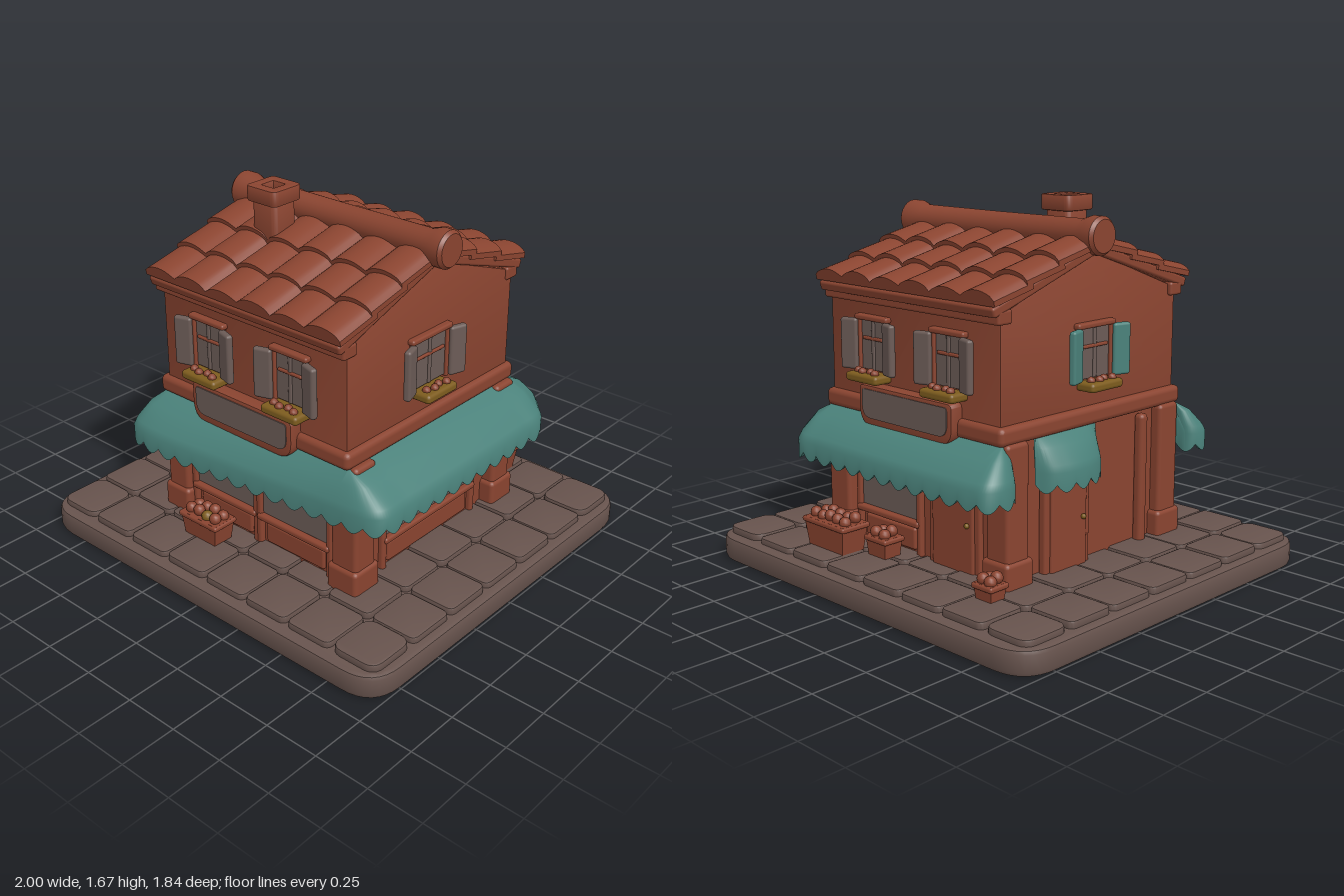
import * as THREE from 'three';
import { toCreasedNormals } from 'three/addons/utils/BufferGeometryUtils.js';
import { RoundedBoxGeometry } from 'three/addons/geometries/RoundedBoxGeometry.js';

const paint = (name, color, side = THREE.FrontSide) => {
  const m = new THREE.MeshStandardMaterial({ color, side });
  m.name = name;
  return m;
};

export function createModel() {
  const brick = paint('terracotta', 0x8a4430);
  const stone = paint('paving stone', 0x67534d);
  const glass = paint('window grey', 0x6b5b56);
  const teal = paint('awning teal', 0x4a817a, THREE.DoubleSide);
  const mustard = paint('mustard', 0x7d5c1e);
  const house = new THREE.Group();
  house.name = 'shop';

  const add = (name, geo, mat, parent = house, x = 0, y = 0, z = 0) => {
    const m = new THREE.Mesh(geo, mat);
    m.name = name;
    m.position.set(x, y, z);
    parent.add(m);
    return m;
  };
  // Box given by its low and high limits on each axis, with softened edges
  const box = (name, mat, [x0, x1], [y0, y1], [z0, z1], parent = house, r = 0.012) => {
    const w = x1 - x0, h = y1 - y0, d = z1 - z0;
    const radius = Math.min(r, w / 2.5, h / 2.5, d / 2.5);
    return add(name, new RoundedBoxGeometry(w, h, d, 2, radius), mat, parent,
      (x0 + x1) / 2, (y0 + y1) / 2, (z0 + z1) / 2);
  };
  // Rounded rectangle outline with separate top and bottom radii
  const roundRect = (w, h, rt, rb = rt) => {
    const s = new THREE.Shape(), a = w / 2, b = h / 2;
    s.moveTo(-a + rb, -b).lineTo(a - rb, -b).quadraticCurveTo(a, -b, a, -b + rb);
    s.lineTo(a, b - rt).quadraticCurveTo(a, b, a - rt, b);
    s.lineTo(-a + rt, b).quadraticCurveTo(-a, b, -a, b - rt);
    s.lineTo(-a, -b + rb).quadraticCurveTo(-a, -b, -a + rb, -b);
    return s;
  };
  const extrude = (shape, depth, bevel = 0) => toCreasedNormals(new THREE.ExtrudeGeometry(shape, {
    depth, bevelEnabled: bevel > 0, bevelSize: bevel, bevelThickness: bevel, bevelSegments: 2, curveSegments: 8,
  }), 0.6);
  // Group whose local +z looks out of one wall
  const wall = (name, angle, x, z) => {
    const g = new THREE.Group();
    g.name = name;
    g.rotation.y = angle;
    g.position.set(x, 0, z);
    house.add(g);
    return g;
  };
  const front = wall('frontWall', 0, 0, 0.55), back = wall('backWall', Math.PI, 0, -0.55);
  const right = wall('plusXWall', Math.PI / 2, 0.54, 0), left = wall('minusXWall', -Math.PI / 2, -0.51, 0);

  // Paved plinth
  const slab = extrude(roundRect(1.96, 1.80, 0.15), 0.07, 0.02);
  slab.rotateX(-Math.PI / 2);
  add('plinth', slab, stone, house, 0, 0.02, 0);
  const tw = 1.92 / 8, td = 1.74 / 7;
  for (let i = 0; i < 8; i++) for (let j = 0; j < 7; j++) {
    const x = -0.96 + tw * (i + 0.5), z = -0.87 + td * (j + 0.5);
    if (Math.abs(x) < 0.4 && Math.abs(z) < 0.4) continue;
    const corner = (i === 0 || i === 7) && (j === 0 || j === 6) ? 0.05 : 0.025;
    const tile = extrude(roundRect(tw - 0.03, td - 0.03, corner), 0.03, 0.01);
    tile.rotateX(-Math.PI / 2);
    add('pavingTile', tile, stone, house, x, 0.1 + 0.004 * ((i * 3 + j) % 2) - 0.002, z);
  }

  // Ground floor: core, corner pillars and their feet
  box('groundFloor', brick, [-0.5, 0.53], [0.1, 0.76], [-0.5, 0.5]);
  for (const [x0, x1] of [[-0.55, -0.42], [0.45, 0.59]]) for (const s of [-1, 1]) {
    const z = s * 0.485;
    box('cornerPillar', brick, [x0, x1], [0.12, 0.74], [z - 0.065, z + 0.065], house, 0.02);
    box('pillarFoot', brick, [x0 - 0.012, x1 + 0.012], [0.12, 0.25], [z - 0.08, z + 0.08], house, 0.02);
  }
  // Shop window with sill, panel and posts, in wall coordinates
  const shopWindow = (g, x0, x1, z, y1 = 0.57) => {
    box('shopPane', glass, [x0, x1], [0.29, y1], [z, z + 0.008], g, 0.002);
    box('shopSill', brick, [x0 - 0.02, x1 + 0.02], [0.26, 0.29], [z - 0.02, z + 0.035], g);
    box('shopPanel', brick, [x0 + 0.02, x1 - 0.02], [0.15, 0.25], [z - 0.02, z + 0.014], g);
    box('shopHeader', brick, [x0 - 0.02, x1 + 0.02], [y1, y1 + 0.04], [z - 0.02, z + 0.03], g);
    for (const x of [x0 - 0.015, x1 + 0.015])
      box('shopPost', brick, [x - 0.016, x + 0.016], [0.13, y1 + 0.03], [z - 0.02, z + 0.025], g);
  };
  const door = (g, x0, x1, z) => {
    box('doorFrame', brick, [x0 - 0.03, x1 + 0.03], [0.12, 0.6], [z - 0.02, z + 0.02], g);
    box('doorLeaf', brick, [x0, x1], [0.13, 0.57], [z, z + 0.032], g);
    add('doorKnob', new THREE.SphereGeometry(0.012, 10, 8), mustard, g, x1 - 0.03, 0.35, z + 0.038);
  };
  shopWindow(front, -0.39, -0.03, -0.05);
  shopWindow(front, 0.02, 0.4, -0.05);
  shopWindow(right, -0.3, 0.3, -0.01);
  shopWindow(back, -0.4, -0.03, -0.05);
  door(back, 0.08, 0.33, -0.05);
  door(left, -0.29, -0.07, 0.01);
  box('drainPipe', brick, [-0.55, -0.5], [0.12, 0.72], [0.29, 0.34], house, 0.02);

  // Upper floor with gable ends, and the belt moulding below it
  const gable = new THREE.Shape();
  gable.moveTo(-0.54, 0.74).lineTo(0.54, 0.74).lineTo(0.54, 1.25).lineTo(0, 1.45).lineTo(-0.54, 1.25).closePath();
  const upper = extrude(gable, 1.03, 0.01);
  upper.rotateY(Math.PI / 2);
  add('upperFloor', upper, brick, house, -0.5, 0, 0);
  box('beltMoulding', brick, [-0.54, 0.565], [0.73, 0.81], [-0.575, 0.575], house, 0.025);

  // Awning: a convex canopy with a scalloped hem, hung from the wall rectangle
  const awning = (name, points, period = 0.1) => {
    const curve = new THREE.CatmullRomCurve3(points.map(([x, z]) => new THREE.Vector3(x, 0, z)), false, 'centripetal');
    const n = Math.round(curve.getLength() / period) * 8;
    const pos = [], idx = [];
    curve.getSpacedPoints(n).forEach((p, i) => {
      const ix = THREE.MathUtils.clamp(p.x, -0.52, 0.55), iz = THREE.MathUtils.clamp(p.z, -0.55, 0.55);
      const hem = 0.54 - 0.035 * Math.abs(Math.sin((i / 8) * Math.PI));
      for (const [t, y] of [[0, 0.735], [0.5, 0.69], [0.9, 0.62], [1, 0.59], [1, hem], [0.9, hem + 0.005], [0.88, 0.59], [0, 0.7]])
        pos.push(ix + (p.x - ix) * t, y, iz + (p.z - iz) * t);
      if (i < n) for (let k = 0; k < 7; k++) {
        const a = i * 8 + k, b = a + 8;
        idx.push(a, a + 1, b, b, a + 1, b + 1);
      }
    });
    const g = new THREE.BufferGeometry();
    g.setAttribute('position', new THREE.Float32BufferAttribute(pos, 3));
    g.setIndex(idx);
    add(name, toCreasedNormals(g, 0.7), teal);
  };
  awning('wrapAwning', [[-0.53, 0.56], [-0.6, 0.58], [-0.62, 0.64], [-0.59, 0.7], [-0.5, 0.725], [0, 0.69], [0.4, 0.65],
    [0.7, 0.61], [0.755, 0.56], [0.76, 0.4], [0.76, -0.4], [0.755, -0.53], [0.68, -0.63], [0.58, -0.72], [0.45, -0.73],
    [-0.5, -0.73], [-0.59, -0.71], [-0.62, -0.64], [-0.6, -0.56], [-0.53, -0.5]]);
  awning('doorAwning', [[-0.53, 0.01], [-0.59, -0.03], [-0.62, -0.1], [-0.63, -0.18], [-0.62, -0.26], [-0.59, -0.33], [-0.53, -0.37]]);

  // Upper windows with open shutters and a flower box
  const upperWindow = (g, x, shutterMat = glass, half = 0.085) => {
    const w = new THREE.Group();
    w.name = 'upperWindow';
    w.position.x = x;
    g.add(w);
    box('pane', glass, [-half, half], [0.93, 1.15], [0, 0.009], w, 0.002);
    box('lintel', brick, [-half - 0.02, half + 0.02], [1.145, 1.17], [-0.01, 0.03], w);
    box('mullion', glass, [-0.01, 0.01], [0.93, 1.15], [0, 0.016], w);
    box('glazingBar', brick, [-half + 0.02, half - 0.02], [1.06, 1.075], [0, 0.018], w);
    for (const s of [-1, 1]) {
      const cx = s * (half + 0.042);
      box('frameSide', brick, [s * half - 0.01, s * half + 0.01], [0.92, 1.16], [-0.01, 0.022], w);
      const shutter = box('shutter', shutterMat, [cx - 0.042, cx + 0.042], [0.925, 1.15], [0.008, 0.04], w);
      shutter.rotation.y = -s * 0.3;
      shutter.position.z = 0.034;
    }
    box('flowerBox', mustard, [-0.1, 0.1], [0.885, 0.925], [-0.01, 0.09], w, 0.015);
    for (let i = 0; i < 4; i++)
      add('flower', new THREE.SphereGeometry(0.019, 8, 6), brick, w, -0.06 + i * 0.04, 0.928, 0.045 + 0.012 * (i % 2));
  };
  for (const g of [front, back]) for (const x of [-0.225, 0.245]) upperWindow(g, g === front ? x : -x);
  upperWindow(right, -0.04, glass, 0.115);
  upperWindow(left, 0.0, teal, 0.1);

  // Blank sign boards on front and back
  for (const g of [front, back]) {
    add('signBoard', extrude(roundRect(0.56, 0.16, 0.015, 0.07), 0.05, 0.01), brick, g, 0, 0.785, 0);
    add('signFace', extrude(roundRect(0.53, 0.125, 0.015, 0.055), 0.006), glass, g, 0, 0.795, 0.058);
  }

  // Roof: two sloping decks with rows of wavy tiles
  const slope = Math.atan2(0.2, 0.6);
  const wave = new THREE.Shape();
  wave.moveTo(-0.55, -0.02);
  wave.lineTo(0.55, -0.02);
  for (let i = 60; i >= 0; i--) {
    const a = Math.abs(Math.sin((i / 10) * Math.PI));
    wave.lineTo(-0.55 + 1.1 * i / 60, 0.004 + 0.032 * Math.pow(a, 0.7) + 0.006 * (Math.floor(i / 10) % 2));
  }
  for (const s of [0, Math.PI]) {
    const side = new THREE.Group();
    side.name = 'roofSlope';
    side.rotation.y = s;
    side.position.x = 0.01;
    house.add(side);
    const deck = box('roofDeck', brick, [-0.54, 0.54], [-0.022, 0.022], [-0.32, 0.32], side);
    deck.position.set(0, 1.372, 0.302);
    deck.rotation.x = slope;
    box('eavesBoard', brick, [-0.54, 0.54], [1.22, 1.28], [0.5, 0.58], side);
    for (let r = 0; r < 3; r++) {
      const tiles = add('tileRow', extrude(wave, 0.225), brick, side, 0, 1.49 - r * 0.061, 0.03 + r * 0.183);
      tiles.rotation.x = slope - 0.1;
    }
  }
  // Ridge roll with flared ends
  const ridge = new THREE.LatheGeometry([[0, -0.59], [0.07, -0.59], [0.083, -0.575], [0.083, -0.53], [0.066, -0.48],
    [0.064, 0], [0.066, 0.48], [0.083, 0.53], [0.083, 0.575], [0.07, 0.59], [0, 0.59]].map(([r, y]) => new THREE.Vector2(r, y)), 24);
  ridge.rotateZ(Math.PI / 2);
  add('ridgeRoll', toCreasedNormals(ridge, 0.6), brick, house, 0.025, 1.525, 0);

  // Hollow chimney
  const flue = (name, outer, y0, y1) => {
    const s = roundRect(outer, outer, 0.02);
    s.holes.push(roundRect(0.085, 0.085, 0.008));
    const g = extrude(s, y1 - y0 - 0.016, 0.008);
    g.rotateX(-Math.PI / 2);
    add(name, g, brick, house, -0.195, y0 + 0.008, 0.18);
  };
  flue('chimneyShaft', 0.12, 1.36, 1.61);
  flue('chimneyCap', 0.156, 1.6, 1.67);
  box('flueFloor', brick, [-0.25, -0.14], [1.4, 1.56], [0.125, 0.235]);

  // Produce crates on the pavement
  const crate = (x, z, w, h, d, fruitMat) => {
    const g = new THREE.CylinderGeometry(Math.SQRT1_2, 0.6, 1, 4).toNonIndexed();
    g.rotateY(Math.PI / 4);
    g.scale(w, h, d);
    g.computeVertexNormals();
    add('crate', g, brick, house, x, 0.14 + h / 2, z);
    box('crateRim', brick, [x - w / 2 - 0.008, x + w / 2 + 0.008], [0.115 + h, 0.14 + h], [z - d / 2 - 0.008, z + d / 2 + 0.008]);
    const n = Math.max(2, Math.round(w / 0.055));
    for (let i = 0; i < n * 2; i++)
      add('produce', new THREE.SphereGeometry(0.027, 10, 8), fruitMat(i), house,
        x + ((i % n) + 0.5 - n / 2) * (w - 0.02) / n, 0.148 + h + 0.006 * (i % 3), z + (i < n ? -1 : 1) * d * 0.2);
  };
  crate(-0.205, 0.635, 0.22, 0.11, 0.12, i => (i === 6 ? mustard : brick));
  crate(0.36, -0.7, 0.27, 0.13, 0.14, () => brick);
  crate(0.13, -0.62, 0.13, 0.09, 0.1, () => brick);
  crate(-0.56, -0.66, 0.1, 0.07, 0.09, () => brick);
  return house;
}
